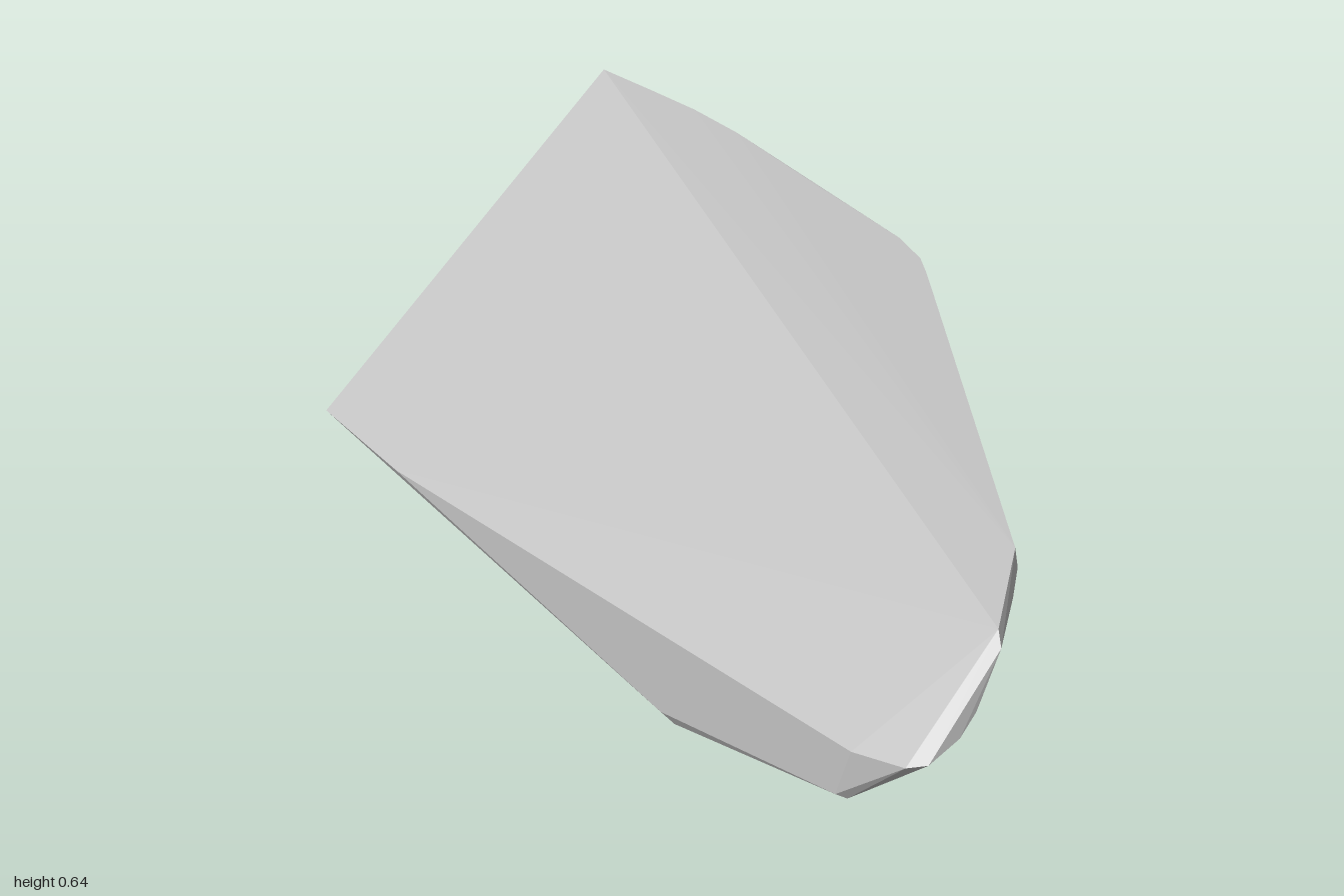
import * as THREE from 'three';
import { ConvexGeometry } from 'three/addons/geometries/ConvexGeometry.js';

// Rounded flank: cross-sections [x, y] from the top rim to the keel, back to front
const flank = [
  { z: -0.99, p: [[0.35, 0.628], [0.335, 0.57], [0.31, 0.48], [0.26, 0.34], [0.19, 0.177], [0.13, 0.09], [0.07, 0.03], [-0.04, 0.002]] },
  { z: -0.65, p: [[0.4, 0.638], [0.435, 0.57], [0.445, 0.48], [0.395, 0.33], [0.32, 0.16], [0.26, 0.07], [0.18, 0.02], [0.04, 0.007]] },
  { z: -0.32, p: [[0.4, 0.64], [0.455, 0.57], [0.475, 0.48], [0.435, 0.35], [0.36, 0.18], [0.3, 0.075], [0.2, 0.02], [0, 0.016]] },
  { z: 0, p: [[0.4, 0.64], [0.41, 0.57], [0.41, 0.48], [0.375, 0.35], [0.285, 0.18], [0.2, 0.085], [0.1, 0.03], [-0.05, 0.025]] },
  { z: 0.12, p: [[0.34, 0.64], [0.35, 0.57], [0.345, 0.48], [0.3, 0.34], [0.21, 0.18], [0.13, 0.095], [0.04, 0.045], [-0.06, 0.032]] },
];

// Rounded shoulder where the nose begins
const shoulder = [[-0.08, 0.638, 0.83], [-0.08, 0.58, 0.84], [-0.115, 0.48, 0.845], [-0.19, 0.38, 0.845], [-0.29, 0.3, 0.84], [-0.455, 0.255, 0.83]];

// Blunt nose
const nose = [[-0.24, 0.625, 0.965], [-0.25, 0.6, 0.985], [-0.31, 0.495, 0.995], [-0.35, 0.46, 1], [-0.42, 0.437, 1], [-0.45, 0.43, 0.975]];

// Flat side, keel front and rear corners
const corners = [
  [-0.475, 0.4, 0.86], [-0.475, 0.27, 0.82], [-0.475, 0.13, -0.62], [-0.475, 0.1, 0.3],
  [-0.45, 0.062, 0.31], [-0.42, 0.046, 0.3], [-0.2, 0.038, 0.25],
  [-0.45, 0.09, -0.94], [-0.42, 0.075, -0.95], [-0.33, 0.056, -0.995],
  [-0.09, 0.006, -1], [0.07, 0.035, -1],
];

const vec = (p) => new THREE.Vector3(...p);
const smooth = (points, n) => new THREE.CatmullRomCurve3(points, false, 'centripetal').getPoints(n);

function hullPoints() {
  const points = [...smooth(shoulder.map(vec), 7), ...nose.map(vec), ...corners.map(vec)];
  // Smooth the flank lengthwise, then around each section
  const rails = flank[0].p.map((_, i) => smooth(flank.map((s) => new THREE.Vector3(...s.p[i], s.z)), 10));
  for (let j = 0; j <= 10; j++) points.push(...smooth(rails.map((r) => r[j]), 14));
  for (const p of points) p.set(Math.min(p.x, 0.475), THREE.MathUtils.clamp(p.y, 0, 0.64), p.z);
  return points;
}

export function createModel() {
  const stone = new THREE.MeshStandardMaterial({ color: 0xc5c5c5 });
  stone.name = 'light grey';

  // Finely faceted convex body
  const body = new THREE.Mesh(new ConvexGeometry(hullPoints()), stone);
  body.name = 'body';

  const group = new THREE.Group();
  group.name = 'roundedFragment';
  group.add(body);
  return group;
}
